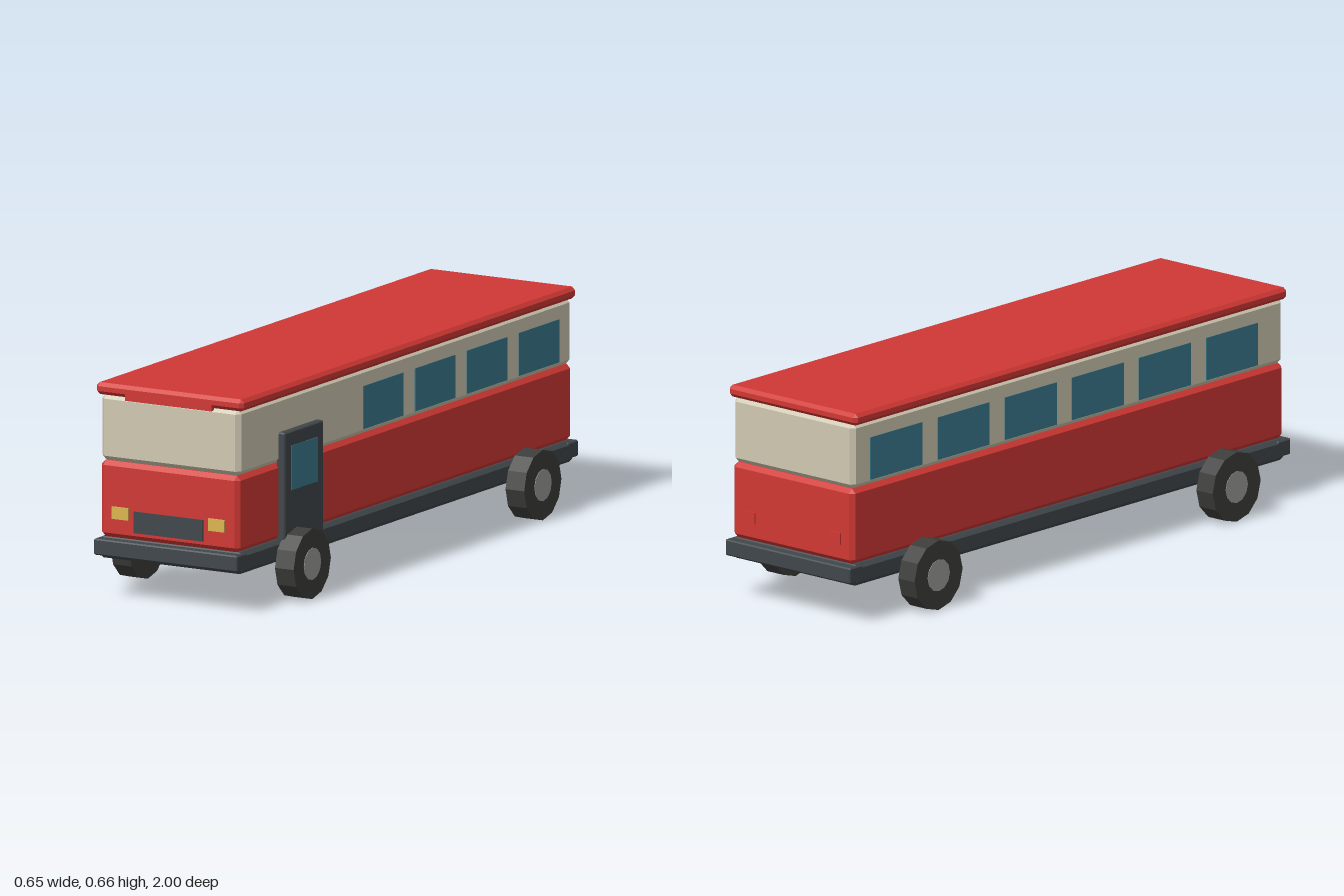
import * as THREE from 'three';
import { ConvexGeometry } from 'three/addons/geometries/ConvexGeometry.js';

const paint = (color) => new THREE.MeshStandardMaterial({ color, flatShading: true });

// Box with every edge cut at 45 degrees
function chamferedBox(w, h, d, c) {
  const points = [];
  for (const x of [-1, 1]) for (const y of [-1, 1]) for (const z of [-1, 1]) {
    for (let face = 0; face < 3; face++) {
      const cut = [0, 1, 2].map((axis) => (axis === face ? 0 : c));
      points.push(new THREE.Vector3(x * (w / 2 - cut[0]), y * (h / 2 - cut[1]), z * (d / 2 - cut[2])));
    }
  }
  return new ConvexGeometry(points);
}

export function createModel() {
  const bus = new THREE.Group();
  bus.name = 'bus';
  const red = paint(0xd03834);
  const cream = paint(0xcfc8b2);
  const dark = paint(0x41474b);
  const rubber = paint(0x3c3d3b);
  const glass = paint(0x3a7a8f);
  const amber = paint(0xdcb552);
  const steel = paint(0x9c9c9a);

  const add = (name, geometry, material, x, y, z) => {
    const mesh = new THREE.Mesh(geometry, material);
    mesh.name = name;
    mesh.position.set(x, y, z);
    bus.add(mesh);
    return mesh;
  };
  const block = (name, mat, w, h, d, c, x, y, z) => add(name, chamferedBox(w, h, d, c), mat, x, y, z);
  const panel = (name, mat, w, h, d, x, y, z) => add(name, new THREE.BoxGeometry(w, h, d), mat, x, y, z);

  // Body shells
  block('chassis', dark, 0.506, 0.067, 1.95, 0.012, 0, 0.1535, 0);
  block('lowerBody', red, 0.49, 0.236, 1.957, 0.014, 0, 0.305, 0);
  block('upperBody', cream, 0.49, 0.204, 1.95, 0.014, 0, 0.525, 0);
  block('roof', red, 0.52, 0.037, 1.96, 0.011, 0, 0.643, 0);
  for (const end of [1, -1]) {
    block(end > 0 ? 'frontBumper' : 'rearBumper', dark, 0.506, 0.05, 0.06, 0.004, 0, 0.158, end * 0.97);
  }

  // Front and rear fittings
  panel('grille', dark, 0.244, 0.066, 0.02, 0, 0.244, 0.973);
  panel('signBoard', red, 0.304, 0.022, 0.02, 0, 0.627, 0.972);
  for (const side of [1, -1]) {
    panel('headlight', amber, 0.057, 0.038, 0.02, side * 0.17, 0.266, 0.974);
    panel('tailLight', red, 0.05, 0.036, 0.02, side * 0.173, 0.262, -0.973);
  }

  // Side windows: six on the left-hand wall, four beside the door
  for (const side of [1, -1]) {
    const count = side > 0 ? 4 : 6;
    for (let i = 0; i < count; i++) {
      panel('sideWindow', glass, 0.01, 0.133, 0.235, side * 0.242, 0.506, -0.78 + i * 0.304);
    }
  }

  // Passenger door
  block('door', dark, 0.03, 0.359, 0.229, 0.004, 0.253, 0.339, 0.63);
  panel('doorWindow', glass, 0.01, 0.137, 0.155, 0.265, 0.405, 0.632);

  // Wheels with hubs and short axle stubs
  const cylinder = (r, length, sides) =>
    new THREE.CylinderGeometry(r, r, length, sides).rotateZ(Math.PI / 2);
  for (const side of [1, -1]) {
    for (const z of [0.675, -0.675]) {
      add('wheel', cylinder(0.109, 0.066, 12), rubber, side * 0.29, 0.109, z);
      add('hub', cylinder(0.05, 0.069, 12), steel, side * 0.29, 0.109, z);
      add('axleStub', cylinder(0.02, 0.03, 10), dark, side * 0.26, 0.109, z);
    }
  }
  return bus;
}
